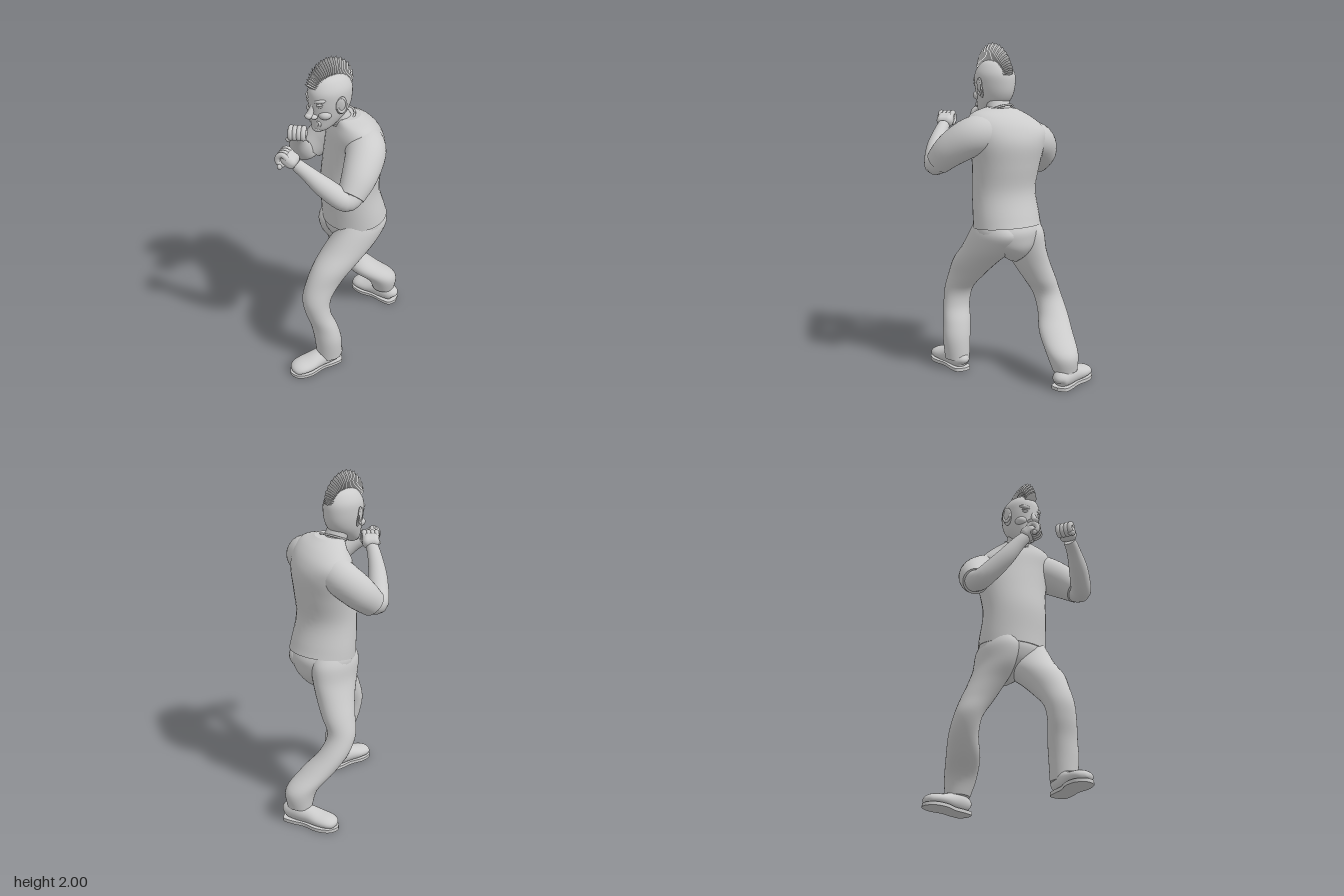
import * as THREE from 'three';
import { RoundedBoxGeometry } from 'three/addons/geometries/RoundedBoxGeometry.js';

const grey = new THREE.MeshStandardMaterial({ color: 0xcccccc, side: THREE.DoubleSide });
const flat = new THREE.MeshStandardMaterial({ color: 0xcccccc, flatShading: true });
const V = (x, y, z) => new THREE.Vector3(x, y, z);

function add(parent, name, geo, pos = [0, 0, 0], scale = [1, 1, 1], rot = [0, 0, 0], mat = grey) {
  const m = new THREE.Mesh(geo, mat);
  m.name = name;
  m.position.set(...pos);
  m.scale.set(...scale);
  m.rotation.set(...rot);
  parent.add(m);
}

// Catmull-Rom interpolation of every column of a table of rows
function smooth(rows, k = 5) {
  const out = [], at = i => rows[Math.min(Math.max(i, 0), rows.length - 1)];
  for (let i = 0; i < rows.length - 1; i++)
    for (let s = 0; s < k; s++) {
      const t = s / k;
      out.push(rows[i].map((b, c) => {
        const a = at(i - 1)[c], d = at(i + 1)[c], e = at(i + 2)[c];
        return b + 0.5 * t * (d - a + t * (2 * a - 5 * b + 4 * d - e + t * (3 * (b - d) + e - a)));
      }));
    }
  out.push(at(rows.length - 1));
  return out;
}

// Skin over elliptical sections. Rows: x, y, z, radiusA, radiusB, [turn, tilt, pitch].
// level: sections stay near horizontal (rows bottom to top); otherwise square to the path.
function loft(rows, level = true, n = 32) {
  const r = smooth(rows), pos = [], idx = [], c = r.map(q => V(q[0], q[1], q[2]));
  const ring = i => {
    const [, , , ra, rb, turn = 0, tilt = 0, pitch = 0] = r[i];
    let u = V(Math.cos(turn), tilt, Math.sin(turn)), v = V(Math.sin(turn), pitch, -Math.cos(turn));
    if (!level) {
      const t = c[Math.min(i + 1, c.length - 1)].clone().sub(c[Math.max(i - 1, 0)]).normalize();
      u = V(0, 1, 0).cross(t).normalize();
      v = t.clone().cross(u);
    }
    for (let j = 0; j < n; j++) {
      const a = j / n * Math.PI * 2;
      pos.push(...c[i].clone().addScaledVector(u, ra * Math.cos(a)).addScaledVector(v, rb * Math.sin(a)).toArray());
    }
  };
  r.forEach((_, i) => ring(i));
  for (let i = 0; i < r.length - 1; i++)
    for (let j = 0; j < n; j++) {
      const a = i * n + j, b = i * n + (j + 1) % n;
      idx.push(a, b, a + n, b, b + n, a + n);
    }
  // separate cap rings keep the end edges sharp
  for (const end of [0, r.length - 1]) {
    const s = pos.length / 3;
    ring(end);
    pos.push(...c[end].toArray());
    for (let j = 0; j < n; j++) {
      const k = (j + 1) % n;
      idx.push(s + n, s + (end ? j : k), s + (end ? k : j));
    }
  }
  const g = new THREE.BufferGeometry();
  g.setAttribute('position', new THREE.Float32BufferAttribute(pos, 3));
  g.setIndex(idx);
  g.computeVertexNormals();
  return g;
}

// Sections given as y, xMin, xMax, zMin, zMax
const box = rows => rows.map(([y, a, b, c, d]) => [(a + b) / 2, y, (c + d) / 2, (b - a) / 2, (d - c) / 2]);
const round = rows => rows.map(([x, y, z, r]) => [x, y, z, r, r]);
const ball = new THREE.SphereGeometry(1, 24, 16);

function shoe(parent, name, pos, turn) {
  const g = new THREE.Group();
  g.name = name;
  add(g, 'shoeUpper', loft([[0, .05, 0, .015, .015], [0, .062, .02, .048, .045], [0, .068, .09, .06, .06],
    [0, .06, .16, .06, .052], [0, .05, .23, .069, .042], [0, .044, .29, .064, .036], [0, .036, .325, .042, .024], [0, .032, .337, .005, .004]], false));
  const s = new THREE.Shape();
  s.moveTo(0, -.005);
  s.splineThru([[.05, .015], [.058, .08], [.055, .15], [.073, .24], [.055, .315], [0, .345],
    [-.055, .315], [-.073, .24], [-.055, .15], [-.058, .08], [-.05, .015], [0, -.005]].map(p => new THREE.Vector2(...p)));
  const sole = new THREE.ExtrudeGeometry(s, { depth: .02, bevelEnabled: false, curveSegments: 48 });
  add(g, 'sole', sole, [0, .02, 0], [1, 1, 1], [Math.PI / 2, 0, 0]);
  add(g, 'ankle', new THREE.CylinderGeometry(.05, .055, .1, 24), [0, .12, .075]);
  g.position.set(...pos);
  g.rotation.y = turn;
  parent.add(g);
}

// Clenched hand whose local +z runs along the forearm
function fist(parent, name, pos, dir, side) {
  const g = new THREE.Group();
  g.name = name;
  add(g, 'palm', new RoundedBoxGeometry(.1, .07, .09, 4, .03), [0, .002, -.005]);
  for (let i = 0; i < 4; i++) {
    const x = -.036 + i * .024;
    const curl = new THREE.CatmullRomCurve3([V(x, .018, .01), V(x, .02, .042), V(x, -.008, .055), V(x, -.036, .04), V(x, -.032, .01)]);
    add(g, 'finger', new THREE.TubeGeometry(curl, 14, .0155, 10));
    add(g, 'fingertip', ball, [x, -.032, .01], [.0155, .0155, .0155]);
  }
  add(g, 'thumb', new THREE.CapsuleGeometry(.015, .045, 6, 12), [side * .03, -.036, .02], [1, 1, 1], [.5, 0, side * 1.1]);
  g.position.set(...pos);
  g.lookAt(V(...pos).add(V(...dir)));
  parent.add(g);
}

function buildHead() {
  const g = new THREE.Group();
  g.name = 'head';
  add(g, 'skull', loft([[0, 1.57, .16, .022, .02], [0, 1.595, .14, .055, .06], [0, 1.65, .1, .083, .105], [0, 1.7, .084, .097, .126],
    [0, 1.76, .08, .105, .135], [0, 1.82, .08, .103, .132], [0, 1.87, .08, .076, .1], [0, 1.893, .08, .043, .058], [0, 1.902, .08, .003, .003]]));
  for (const s of [-1, 1]) {
    add(g, 'eye', ball, [s * .043, 1.748, .188], [.02, .012, .018]);
    add(g, 'eyelid', ball, [s * .043, 1.757, .187], [.024, .01, .021], [.2, 0, s * .2]);
    add(g, 'brow', ball, [s * .042, 1.777, .188], [.04, .014, .022], [0, s * .4, s * .25]);
    add(g, 'cheek', ball, [s * .05, 1.69, .158], [.04, .03, .04]);
    add(g, 'nostril', ball, [s * .021, 1.678, .21], [.018, .014, .022]);
    // ears with a slim raised rim
    add(g, 'ear', ball, [s * .108, 1.738, .092], [.01, .056, .03], [.15, s * -.35, -s * .15]);
    add(g, 'earRim', new THREE.TorusGeometry(.025, .006, 8, 24), [s * .114, 1.748, .09], [1, 1.7, 1], [0, Math.PI / 2 - s * .35, 0]);
  }
  add(g, 'noseBridge', loft(round([[0, 1.77, .19, .012], [0, 1.725, .207, .015], [0, 1.69, .225, .02]]), false, 16));
  add(g, 'noseTip', ball, [0, 1.683, .23], [.023, .019, .025]);
  // open grinning mouth
  add(g, 'lips', new THREE.TorusGeometry(.038, .008, 10, 32), [0, 1.632, .19], [1.15, .6, 1], [.1, 0, 0]);
  for (const [y, n] of [[1.644, 6], [1.618, 5]])
    for (let i = 0; i < n; i++) {
      const x = (i - (n - 1) / 2) * .011;
      add(g, 'tooth', new RoundedBoxGeometry(.01, .013, .012, 2, .003), [x, y, .194 - x * x * 6]);
    }
  add(g, 'chin', ball, [0, 1.59, .174], [.038, .024, .028]);

  // crest: a fan of thin pointed blades over the middle of the skull
  const crest = new THREE.Group();
  crest.name = 'crest';
  const blade = new THREE.LatheGeometry([[1, 0], [1, .55], [.6, .8], [.01, 1]].map(p => new THREE.Vector2(...p)), 4);
  for (let i = 0; i < 30; i++) {
    const t = i / 29, a = THREE.MathUtils.lerp(.96, -1.12, t);
    const tip = (a > .1 ? .24 - .04 * ((a - .1) / .86) ** 2 : .24 - .07 * ((.1 - a) / 1.22) ** 1.5) - (i % 2) * .006;
    const base = .105;
    add(crest, 'hairBlade', blade, [0, base * Math.cos(a), base * Math.sin(a)], [.036, tip - base, .01], [a, 0, 0], flat);
  }
  crest.position.set(0, 1.76, .08);
  crest.rotation.y = -.09;
  g.add(crest);
  g.position.x = -.03;
  return g;
}

export function createModel() {
  const man = new THREE.Group();
  man.name = 'boxer';

  // shirt, turned so that the left shoulder leads; the hem dips at the front
  add(man, 'shirt', loft([[.01, .937, -.065, .208, .186, .1, .01, .1], [.008, 1, -.055, .205, .18, .12, 0, .05], [.005, 1.15, -.032, .195, .168, .2, 0, 0],
    [.005, 1.3, -.05, .205, .17, .3, .03, 0], [.01, 1.43, -.065, .228, .168, .38, .08, 0], [.01, 1.52, -.058, .24, .148, .42, .12, 0],
    [.015, 1.585, -.04, .185, .112, .42, .12, 0], [.005, 1.628, -.008, .09, .08, .3, .06, 0]]));
  add(man, 'collar', new THREE.TorusGeometry(.076, .006, 10, 36), [-.008, 1.617, .015], [1, 1, 1], [Math.PI / 2 + .4, 0, 0]);
  add(man, 'neck', loft(round([[0, 1.56, -.005, .076], [-.015, 1.63, .035, .07], [-.03, 1.71, .065, .068]])));

  // trousers
  add(man, 'hips', loft([[-.015, .725, -.09, .02, .04, .2], [-.01, .765, -.085, .075, .105, .2], [0, .82, -.075, .15, .155, .2],
    [.005, .88, -.067, .195, .176, .15], [.007, .925, -.065, .203, .178, .12], [.008, .97, -.06, .19, .165, .12]]));
  add(man, 'leftLeg', loft(box([[.07, .065, .215, .165, .32], [.2, .05, .225, .17, .33], [.3, .03, .21, .19, .34], [.4, .01, .185, .22, .365],
    [.5, -.005, .17, .2, .375], [.6, -.015, .172, .1, .345], [.7, -.028, .195, -.02, .29], [.8, -.035, .21, -.15, .2], [.9, -.005, .212, -.22, .125], [.97, .03, .19, -.18, .08]])));
  add(man, 'rightLeg', loft(box([[.1, -.19, -.04, -.5, -.36], [.2, -.205, -.02, -.505, -.31], [.3, -.26, -.06, -.41, -.21], [.4, -.3, -.125, -.32, -.14],
    [.5, -.305, -.14, -.26, -.085], [.6, -.275, -.085, -.255, -.045], [.7, -.238, -.035, -.25, .01], [.8, -.208, .0, -.25, .08], [.9, -.198, .02, -.245, .11], [.97, -.17, 0, -.21, .08]])));
  shoe(man, 'leftShoe', [.15, 0, .165], -.17);
  shoe(man, 'rightShoe', [-.025, 0, -.457], -1.35);

  // arms raised in guard
  add(man, 'leftSleeve', loft(round([[.04, 1.475, -.06, .11], [.13, 1.485, -.025, .117], [.21, 1.47, .025, .114], [.275, 1.395, .125, .1], [.304, 1.315, .21, .077]]), false));
  add(man, 'rightSleeve', loft(round([[-.04, 1.45, -.09, .11], [-.125, 1.445, -.11, .108], [-.2, 1.415, -.11, .104], [-.268, 1.345, -.06, .098], [-.306, 1.275, .01, .078]]), false));
  add(man, 'leftForearm', loft(round([[.302, 1.33, .18, .067], [.3, 1.3, .245, .062], [.22, 1.38, .325, .057], [.14, 1.455, .38, .042], [.085, 1.495, .41, .036]]), false));
  add(man, 'rightForearm', loft(round([[-.302, 1.29, -.01, .067], [-.298, 1.275, .065, .062], [-.22, 1.38, .165, .055], [-.155, 1.48, .22, .042], [-.115, 1.53, .245, .036]]), false));
  fist(man, 'leftFist', [.05, 1.525, .432], [-.2, .15, .12], 1);
  fist(man, 'rightFist', [-.095, 1.56, .258], [.1, .11, .11], -1);

  man.add(buildHead());
  return man;
}
